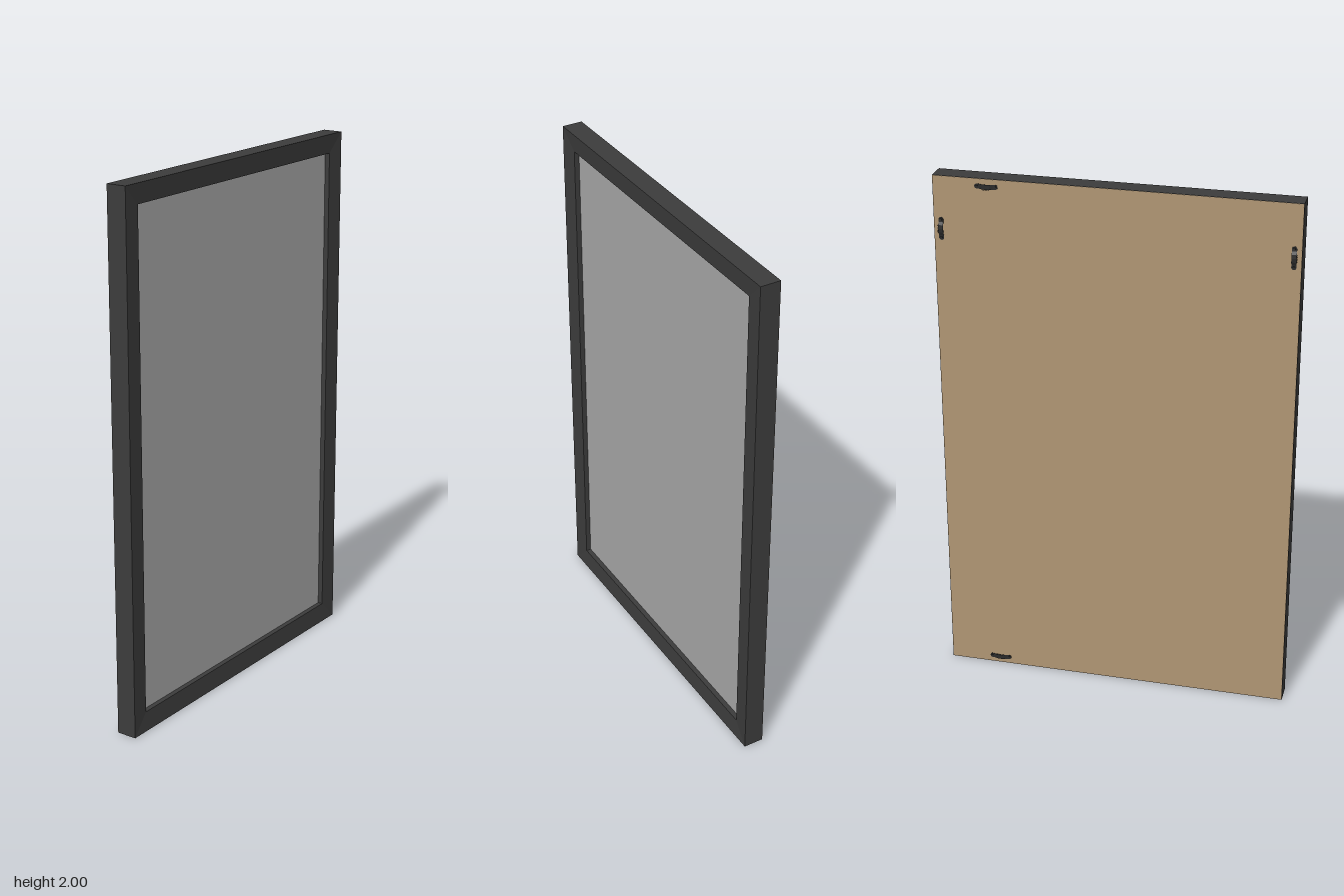
import * as THREE from 'three';

const W = 1.326, H = 2, BAR = 0.073;
const BACK = -0.035, FRONT = 0.043;

// Mitred rectangular ring: profile points are [inset from the edge, z]
function mitredFrame(profile) {
  const signs = [[-1, -1], [1, -1], [1, 1], [-1, 1]];
  const point = (corner, [inset, z]) => {
    const [sx, sy] = signs[corner % 4];
    return [sx * (W / 2 - inset), H / 2 + sy * (H / 2 - inset), z];
  };
  const positions = [];
  for (let i = 0; i < 4; i++) {
    for (let j = 0; j < profile.length; j++) {
      const p = profile[j], q = profile[(j + 1) % profile.length];
      const a = point(i, p), b = point(i + 1, p), c = point(i + 1, q), d = point(i, q);
      positions.push(...a, ...b, ...c, ...a, ...c, ...d);
    }
  }
  const geometry = new THREE.BufferGeometry();
  geometry.setAttribute('position', new THREE.Float32BufferAttribute(positions, 3));
  geometry.computeVertexNormals();
  return geometry;
}

function addMesh(parent, name, geometry, material, x = 0, y = 0, z = 0) {
  const mesh = new THREE.Mesh(geometry, material);
  mesh.name = name;
  mesh.position.set(x, y, z);
  parent.add(mesh);
  return mesh;
}

// Arched hanger strip: length along x, width along y, rising along +z
function makeHanger(material) {
  const hanger = new THREE.Group();
  const width = 0.018, t = 0.0014;
  const path = [[-0.036, 0], [-0.025, 0.001], [-0.014, 0.0055], [0, 0.0066],
    [0.014, 0.0055], [0.025, 0.001], [0.036, 0]];
  const outline = [...path, ...path.map(([x, y]) => [x, y + t]).reverse()];
  const shape = new THREE.Shape(outline.map(([x, y]) => new THREE.Vector2(x, y)));
  const strip = new THREE.ExtrudeGeometry(shape, { depth: width, bevelEnabled: false });
  strip.rotateX(Math.PI / 2).translate(0, width / 2, 0);
  addMesh(hanger, 'arch', strip, material);

  // Rounded ends with screw heads
  const disc = new THREE.CylinderGeometry(width / 2, width / 2, t, 16).rotateX(Math.PI / 2);
  const screw = new THREE.CylinderGeometry(0.004, 0.005, 0.004, 12).rotateX(Math.PI / 2);
  for (const s of [-1, 1]) {
    addMesh(hanger, 'hangerEnd', disc, material, s * 0.034, 0, t / 2);
    addMesh(hanger, 'screwHead', screw, material, s * 0.034, 0, 0.002);
  }

  // Row of small teeth along the lower edge
  const tooth = new THREE.ConeGeometry(0.003, 0.005, 4).scale(1, 1, 0.25);
  for (let i = -2; i <= 2; i++) {
    const z = 0.0072 - 0.0004 * Math.abs(i);
    addMesh(hanger, 'tooth', tooth, material, i * 0.006, -width / 2 - 0.0015, z - 0.0005)
      .rotation.z = Math.PI;
  }
  return hanger;
}

export function createModel() {
  const charcoal = new THREE.MeshStandardMaterial({ color: 0x3c3c3c });
  charcoal.name = 'charcoal';
  const paneGrey = new THREE.MeshStandardMaterial({ color: 0xa8a8a8 });
  paneGrey.name = 'paneGrey';
  const boardBrown = new THREE.MeshStandardMaterial({ color: 0xb09673 });
  boardBrown.name = 'boardBrown';
  const darkMetal = new THREE.MeshStandardMaterial({ color: 0x2a2a2a });
  darkMetal.name = 'darkMetal';

  const model = new THREE.Group();
  model.name = 'pictureFrame';

  // Frame bars, sloping slightly towards the pane
  addMesh(model, 'frame', mitredFrame([
    [0, BACK + 0.001], [0, FRONT], [BAR, FRONT - 0.006], [BAR, BACK + 0.001],
  ]), charcoal);

  // Pane set back inside the frame
  addMesh(model, 'pane', new THREE.BoxGeometry(W - 2 * BAR + 0.002, H - 2 * BAR + 0.002, 0.006),
    paneGrey, 0, H / 2, 0.015);

  // Thin backing board covering the whole rear
  addMesh(model, 'backBoard', new THREE.BoxGeometry(W - 0.002, H - 0.002, 0.003),
    boardBrown, 0, H / 2, BACK + 0.0015);

  // Hangers: x, y, turn
  const hangers = [
    ['topHanger', 0.464, 1.972, 0],
    ['bottomHanger', 0.464, 0.028, Math.PI],
    ['leftHanger', 0.636, 1.803, -Math.PI / 2],
    ['rightHanger', -0.636, 1.803, Math.PI / 2],
  ];
  for (const [name, x, y, turn] of hangers) {
    const hanger = makeHanger(darkMetal);
    hanger.name = name;
    hanger.position.set(x, y, BACK);
    hanger.rotation.set(0, Math.PI, turn);
    model.add(hanger);
  }
  return model;
}
